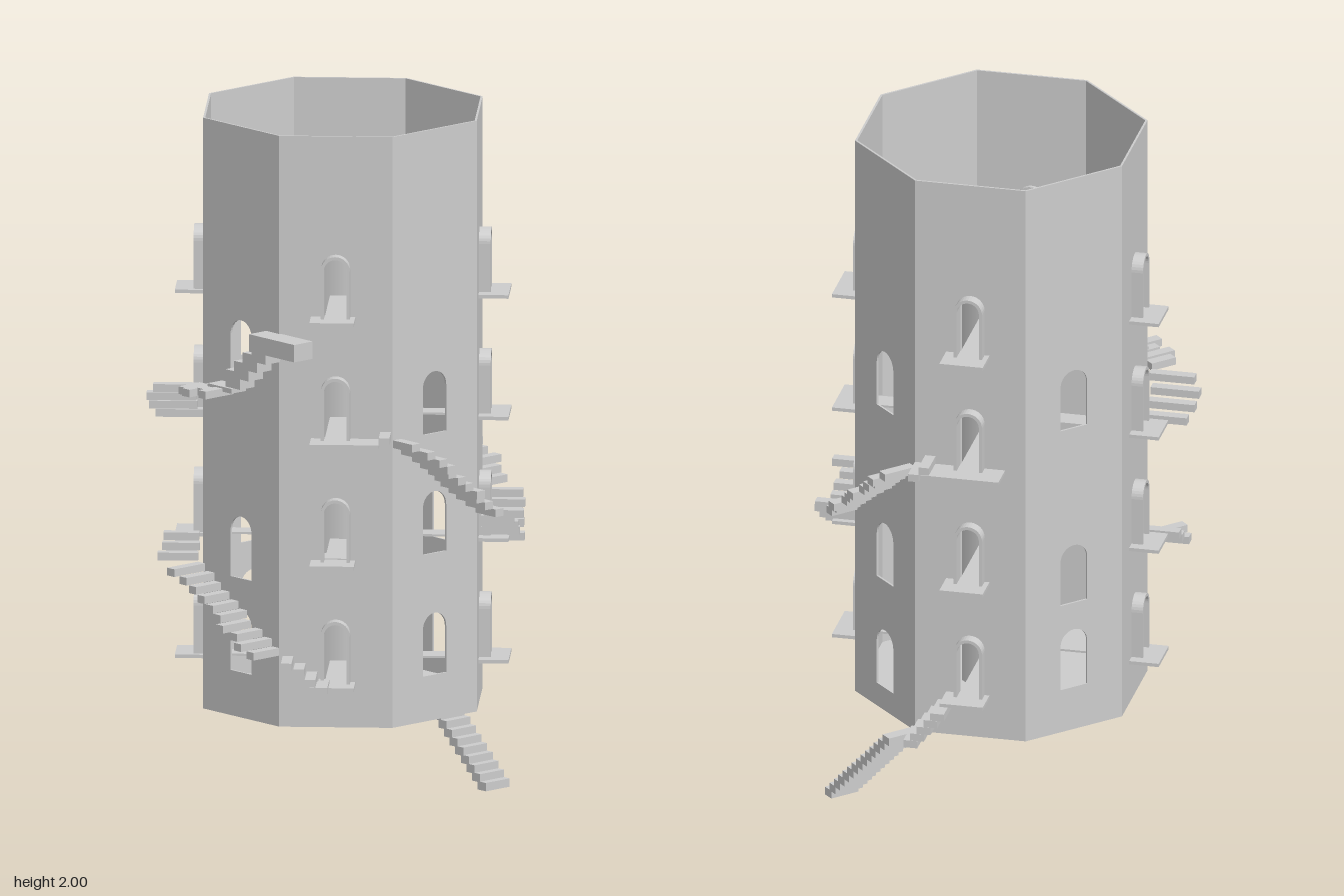
import * as THREE from 'three';

const APOTHEM = 0.385, SIDE = 0.319, BASE = 0.3, TOP = 2;
const LEVELS = [0.43, 0.78, 1.13, 1.48];
const stone = new THREE.MeshStandardMaterial({ color: 0xcccccc });
stone.name = 'stone grey';

// Round-headed opening outline, centred on u
function arch(path, u, y, w, h) {
  const r = w / 2;
  path.moveTo(u - r, y);
  path.lineTo(u + r, y);
  path.lineTo(u + r, y + h - r);
  path.absarc(u, y + h - r, r, 0, Math.PI, false);
  path.lineTo(u - r, y);
  return path;
}

function add(parent, name, geometry, x = 0, y = 0, z = 0) {
  const mesh = new THREE.Mesh(geometry, stone);
  mesh.name = name;
  mesh.position.set(x, y, z);
  parent.add(mesh);
  return mesh;
}

const box = (w, h, d) => new THREE.BoxGeometry(w, h, d);
const octagon = (apothem, h) => {
  const r = apothem / Math.cos(Math.PI / 8);
  return new THREE.CylinderGeometry(r, r, h, 8, 1, false, Math.PI / 8).toNonIndexed();
};
const extrude = (shape, depth) => new THREE.ExtrudeGeometry(shape, { depth, bevelEnabled: false, curveSegments: 8 });

export function createModel() {
  const model = new THREE.Group();
  model.name = 'tower';
  const tower = new THREE.Group();
  tower.name = 'towerBody';
  tower.position.set(0.005, 0, -0.02);
  model.add(tower);

  // Eight sides, counted from the front towards +x; local z points outward
  const sides = [];
  for (let k = 0; k < 8; k++) {
    const side = new THREE.Group();
    side.name = 'side' + k;
    side.rotation.y = k * Math.PI / 4;
    tower.add(side);
    sides.push(side);
  }

  // Sill heights of the plain windows on the diagonal sides
  const windows = { 1: [0.43, 0.78, 1.125], 3: [0.37, 0.70, 1.23], 5: [0.43, 0.69, 1.23], 7: [0.43, 0.70, 1.265] };

  sides.forEach((side, k) => {
    const diagonal = k % 2 === 1;
    const wall = new THREE.Shape();
    wall.moveTo(-SIDE / 2, BASE);
    wall.lineTo(SIDE / 2, BASE);
    wall.lineTo(SIDE / 2, TOP);
    wall.lineTo(-SIDE / 2, TOP);
    wall.closePath();
    for (const y of diagonal ? windows[k] : LEVELS) {
      wall.holes.push(arch(new THREE.Path(), 0, y, diagonal ? 0.088 : 0.066, diagonal ? 0.178 : 0.172));
    }
    add(side, 'wall', extrude(wall, 0.006), 0, 0, APOTHEM - 0.006);
    if (diagonal) return;

    // Doorways: arched surround, outer sill and inner bridge to the column
    LEVELS.forEach((y, level) => {
      const ring = arch(new THREE.Shape(), 0, y, 0.082, 0.18);
      ring.holes.push(arch(new THREE.Path(), 0, y + 0.001, 0.064, 0.17));
      add(side, 'doorSurround', extrude(ring, 0.05), 0, 0, 0.368);
      let [a, b] = k === 2 ? [-0.08, 0.08] : [-0.07, 0.055];
      if (level === 2 && k === 0) b = 0.125;
      if (level === 2 && k === 4) [a, b] = [-0.155, 0.1];
      add(side, 'doorSill', box(b - a, 0.01, 0.085), (a + b) / 2, y - 0.004, 0.4275);
      add(side, 'bridge', box(0.062, 0.006, 0.285), 0, y - 0.003, 0.2375);
    });
  });

  // Floor and central column
  add(tower, 'floor', octagon(APOTHEM - 0.002, 0.01), 0, BASE + 0.005, 0);
  add(tower, 'column', octagon(0.103, 1.4), 0, BASE + 0.7, 0);

  // Ledge and block inside the front doorway
  add(tower, 'innerLedge', box(0.18, 0.01, 0.07), -0.04, 0.779, 0.345);
  add(tower, 'innerBlock', box(0.052, 0.04, 0.052), -0.08, 0.8, 0.345);

  // Small repeatable variation for the rough steps
  let seed = 7;
  const vary = () => (seed = (seed * 16807) % 2147483647) / 2147483647 - 0.5;

  // Steps climbing round the wall; s counts sides, with whole numbers at side centres
  function flight(name, s0, s1, y0, y1, count, { w = 0.03, h = 0.022, d = 0.1, out = 0.012, rough = 1 } = {}) {
    for (let i = 0; i < count; i++) {
      const t = i / (count - 1);
      const s = s0 + (s1 - s0) * t;
      const k = Math.round(s);
      const depth = d + rough * vary() * 0.04;
      const gap = out + rough * vary() * 0.02;
      add(sides[k % 8], name, box(w, h, depth),
        (s - k) * SIDE, y0 + (y1 - y0) * t + h / 2, APOTHEM + gap + depth / 2);
    }
  }

  flight('groundStep', 2.53, 3.49, 0, 0.28, 14, { w: 0.034, h: 0.024, d: 0.09, out: 0.005, rough: 0 });
  flight('groundStep', 3.54, 3.78, 0.3, 0.39, 5, { w: 0.04, d: 0.1, out: 0.015, rough: 0 });
  flight('frontLeftStep', 7.9, 6.2, 0.42, 0.765, 17);
  flight('frontRightStep', 1.95, 0.44, 0.765, 1.13, 17);
  flight('backRightStep', 2.1, 3.65, 0.765, 1.14, 18);
  flight('upperLeftStep', 6.2, 6.46, 1.12, 1.21, 4, { d: 0.12 });
  flight('upperLeftStep', 6.56, 6.9, 1.22, 1.23, 4, { d: 0.09 });
  flight('upperFrontStep', 7.08, 7.42, 1.26, 1.35, 4, { w: 0.06, h: 0.05, d: 0.055, out: 0, rough: 0 });

  // Landings of the upper front-left stair
  add(sides[7], 'windowLanding', box(0.1, 0.014, 0.14), -0.03, 1.25, 0.37);
  add(sides[7], 'cornerLanding', box(0.19, 0.05, 0.07), 0.2, 1.405, 0.415);

  return model;
}
